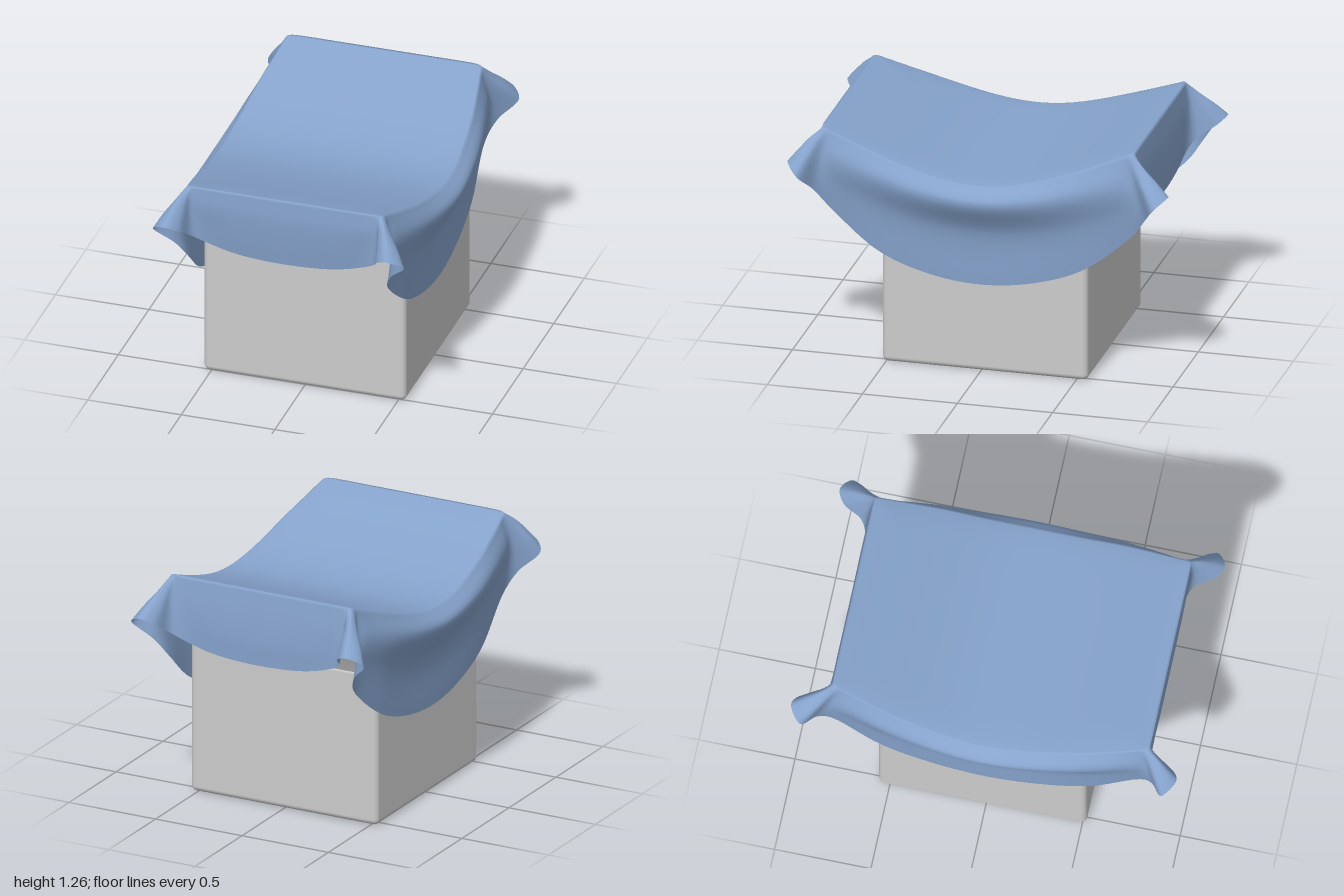
import * as THREE from 'three';
import { RoundedBoxGeometry } from 'three/addons/geometries/RoundedBoxGeometry.js';
import { toCreasedNormals } from 'three/addons/utils/BufferGeometryUtils.js';

// Height of the saddle-shaped top at depth z
const saddle = (z) => 1.04 + (z > 0 ? 0.375 : 0.44) * (Math.hypot(z, 0.35) - 0.35);

// One quarter of the cloth, front middle to side middle:
// edge [x, z], then bulge, tuck and hem [x, y, z]
const QUARTER = [
  [[0, 0.845], [0, 1.12, 0.85], [0, 0.99, 0.84], [0, 0.865, 0.825]],
  [[0.28, 0.845], [0.28, 1.13, 0.85], [0.27, 1.0, 0.84], [0.26, 0.882, 0.825]],
  [[0.42, 0.845], [0.43, 1.14, 0.85], [0.43, 1.03, 0.84], [0.42, 0.925, 0.83]],
  [[0.485, 0.843], [0.495, 1.16, 0.855], [0.495, 1.07, 0.86], [0.49, 0.97, 0.865]],
  [[0.508, 0.838], [0.52, 1.18, 0.885], [0.525, 1.11, 0.925], [0.53, 1.04, 0.965]],
  [[0.518, 0.832], [0.55, 1.19, 0.895], [0.575, 1.13, 0.95], [0.595, 1.07, 1.0]],
  [[0.524, 0.82], [0.575, 1.165, 0.865], [0.63, 1.09, 0.905], [0.672, 1.02, 0.94]],
  [[0.53, 0.79], [0.555, 1.12, 0.825], [0.57, 1.02, 0.85], [0.58, 0.92, 0.87]],
  [[0.54, 0.73], [0.575, 1.09, 0.75], [0.555, 0.95, 0.78], [0.535, 0.82, 0.80]],
  [[0.575, 0.50], [0.625, 1.03, 0.51], [0.575, 0.85, 0.53], [0.55, 0.61, 0.54]],
  [[0.595, 0.25], [0.655, 0.98, 0.26], [0.58, 0.79, 0.27], [0.558, 0.515, 0.28]],
  [[0.605, 0], [0.668, 0.96, 0], [0.582, 0.77, 0], [0.562, 0.482, 0]],
];

// Closed guide curve from the quarter mirrored around: k = 0 edge ... 3 hem
function guide(k) {
  const backScale = [0.95, 0.965, 0.985, 1][k];
  const quarter = (sx, sz) => QUARTER.map((row) => {
    const p = row[k];
    const z = p[p.length - 1] * sz * (sz < 0 ? backScale : 1);
    const y = k === 0 ? saddle(z) - 0.008 : p[1];
    return new THREE.Vector3(p[0] * sx, y, z);
  });
  return new THREE.CatmullRomCurve3([
    ...quarter(1, 1),
    ...quarter(1, -1).reverse().slice(1),
    ...quarter(-1, -1).slice(1),
    ...quarter(-1, 1).reverse().slice(1, -1),
  ], true, 'centripetal');
}

function clothGeometry() {
  const N = 264, TOP = 22, DROP = 24;
  const guides = [0, 1, 2, 3].map(guide);
  const rows = TOP + DROP + 1;
  const columns = [];
  for (let i = 0; i < N; i++) {
    const points = guides.map((g) => g.getPoint(i / N));
    const edge = points[0], drop = new THREE.CatmullRomCurve3(points);
    const column = [];
    // Top sheet, growing outward to the edge
    for (let j = 0; j <= TOP; j++) {
      const s = 1 - Math.pow(1 - j / TOP, 1.4);
      const z = edge.z * s;
      column.push(new THREE.Vector3(edge.x * s, saddle(z) - 0.008 * Math.pow(s, 12), z));
    }
    // Skirt, falling from the edge to the hem
    for (let j = 1; j <= DROP; j++) column.push(drop.getPoint(j / DROP));
    columns.push(column);
  }
  const index = [];
  for (let i = 0; i < N; i++) {
    for (let j = 0; j < rows - 1; j++) {
      const a = i * rows + j, d = ((i + 1) % N) * rows + j;
      index.push(a, a + 1, d + 1);
      if (j > 0) index.push(a, d + 1, d);
    }
  }
  const g = new THREE.BufferGeometry().setFromPoints(columns.flat());
  g.setIndex(index);
  g.computeVertexNormals();
  return g;
}

// Flared upper body: side profile (z, y) extruded across x, narrowing upward
function flareGeometry() {
  const shape = new THREE.Shape();
  shape.moveTo(-0.54, 0.79);
  shape.lineTo(0.5, 0.79);
  shape.lineTo(0.505, 0.82);
  shape.lineTo(0.79, 1.11);
  for (let i = 0; i <= 24; i++) {
    const z = 0.8 - (1.56 * i) / 24;
    shape.lineTo(z, saddle(z) - 0.035);
  }
  shape.lineTo(-0.76, 1.11);
  shape.lineTo(-0.545, 0.82);
  const g = new THREE.ExtrudeGeometry(shape, {
    depth: 1.036, bevelThickness: 0.012, bevelSize: 0.012, bevelSegments: 2,
  });
  g.translate(0, 0, -0.518);
  g.rotateY(-Math.PI / 2);
  const p = g.attributes.position;
  for (let i = 0; i < p.count; i++) {
    p.setX(i, p.getX(i) * (1 - 0.13 * THREE.MathUtils.clamp(p.getY(i) - 0.82, 0, 0.4)));
  }
  return toCreasedNormals(g, 0.6);
}

export function createModel() {
  const model = new THREE.Group();
  const add = (name, geometry, material) => {
    const mesh = new THREE.Mesh(geometry, material);
    mesh.name = name;
    model.add(mesh);
    return mesh;
  };
  const grey = new THREE.MeshStandardMaterial({ color: 0xcccccc });
  const blue = new THREE.MeshStandardMaterial({ color: 0x86a3cc, side: THREE.DoubleSide });

  // Block at the bottom, slightly behind the middle
  add('baseBlock', new RoundedBoxGeometry(1.08, 0.83, 1.08, 4, 0.03), grey).position.set(0, 0.415, -0.02);
  add('flaredTop', flareGeometry(), grey);
  // Sheet draped over the top
  add('drapedCloth', clothGeometry(), blue);
  return model;
}
